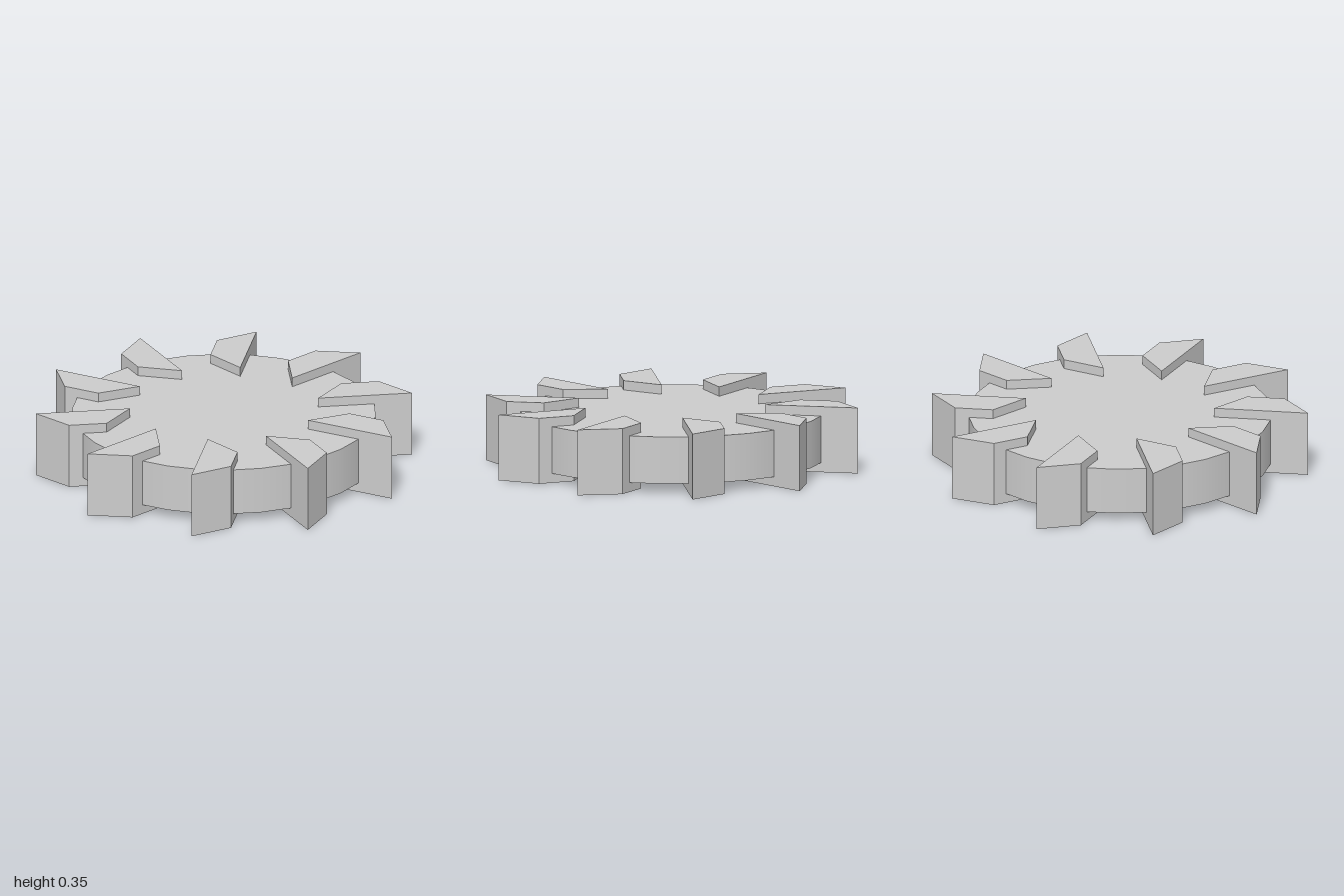
import * as THREE from 'three';

const TEETH = 10;

export function createModel() {
  const group = new THREE.Group();
  group.name = 'cutterWheel';
  const steel = new THREE.MeshStandardMaterial({ color: 0xcccccc });
  steel.name = 'light grey';

  // Central disc, with a rim corner on the x axis
  const discGeometry = new THREE.CylinderGeometry(0.8, 0.8, 0.25, 30);
  discGeometry.rotateY(Math.PI / 2);
  const disc = new THREE.Mesh(discGeometry, steel);
  disc.name = 'disc';
  disc.position.y = 0.175;
  group.add(disc);

  // Slanted tooth, taller than the disc
  const outline = new THREE.Shape([
    new THREE.Vector2(0.5, 0),
    new THREE.Vector2(1, 0),
    new THREE.Vector2(0.85, 0.185),
    new THREE.Vector2(0.65, 0.185),
  ]);
  const toothGeometry = new THREE.ExtrudeGeometry(outline, { depth: 0.35, bevelEnabled: false });
  toothGeometry.rotateX(-Math.PI / 2);

  // Ring of teeth
  for (let i = 0; i < TEETH; i++) {
    const tooth = new THREE.Mesh(toothGeometry, steel);
    tooth.name = `tooth${i + 1}`;
    tooth.rotation.y = (i / TEETH) * Math.PI * 2;
    group.add(tooth);
  }
  return group;
}
